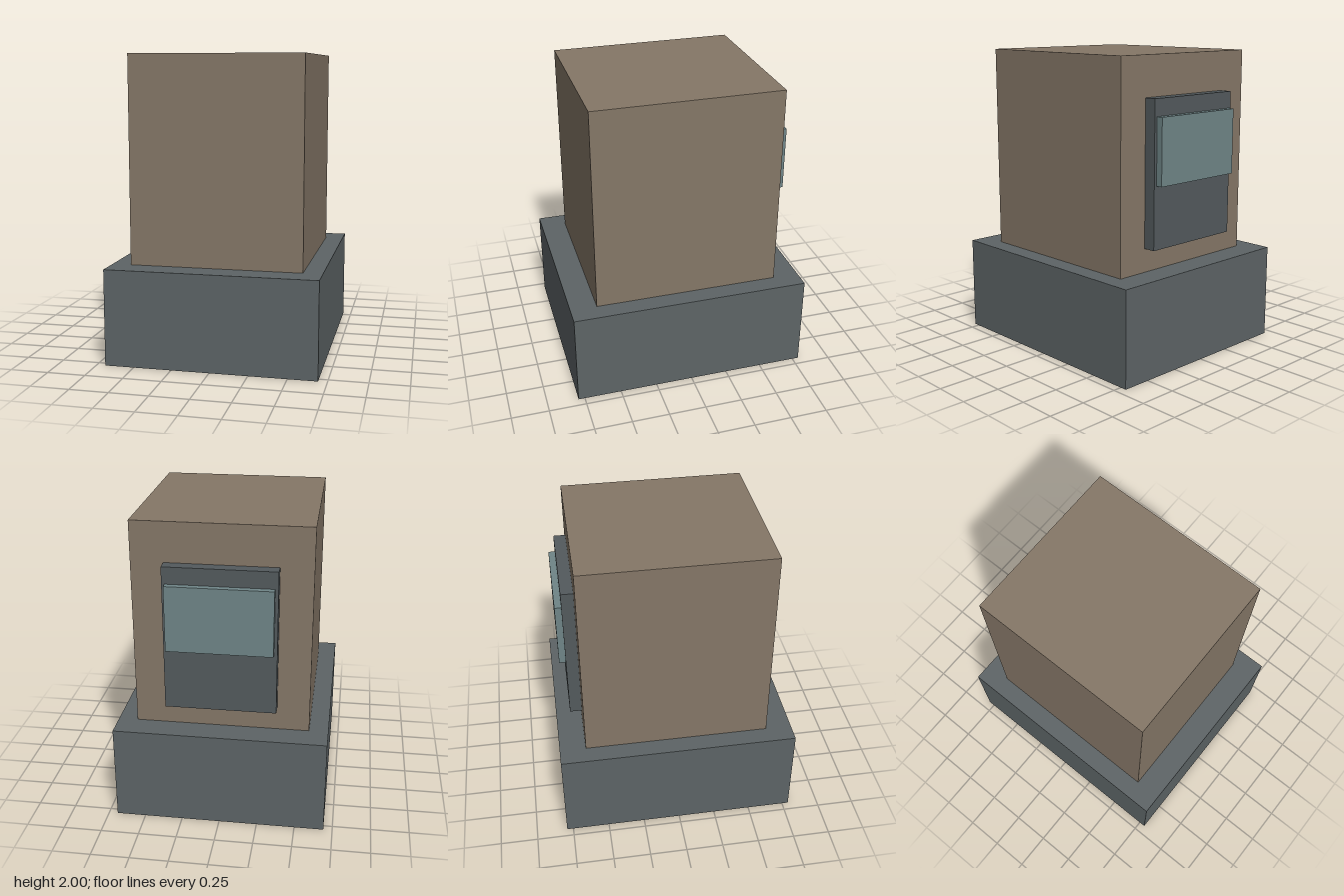
import * as THREE from 'three';

export function createModel() {
  const model = new THREE.Group();

  // Adds a box spanning the given min/max ranges
  function block(name, color, [x0, x1], [y0, y1], [z0, z1]) {
    const mesh = new THREE.Mesh(
      new THREE.BoxGeometry(x1 - x0, y1 - y0, z1 - z0),
      new THREE.MeshStandardMaterial({ color })
    );
    mesh.position.set((x0 + x1) / 2, (y0 + y1) / 2, (z0 + z1) / 2);
    mesh.name = name;
    model.add(mesh);
  }

  // Plinth and main body
  block('base', 0x5d6466, [-0.692, 0.692], [0, 0.635], [-0.793, 0.793]);
  block('body', 0x857767, [-0.567, 0.567], [0.635, 2], [-0.618, 0.618]);

  // Raised back panel with a lighter pane in its upper half
  block('backPanel', 0x535a5d, [-0.358, 0.358], [0.79, 1.74], [-0.698, -0.618]);
  block('pane', 0x6f8587, [-0.338, 0.338], [1.2, 1.63], [-0.741, -0.698]);

  return model;
}
